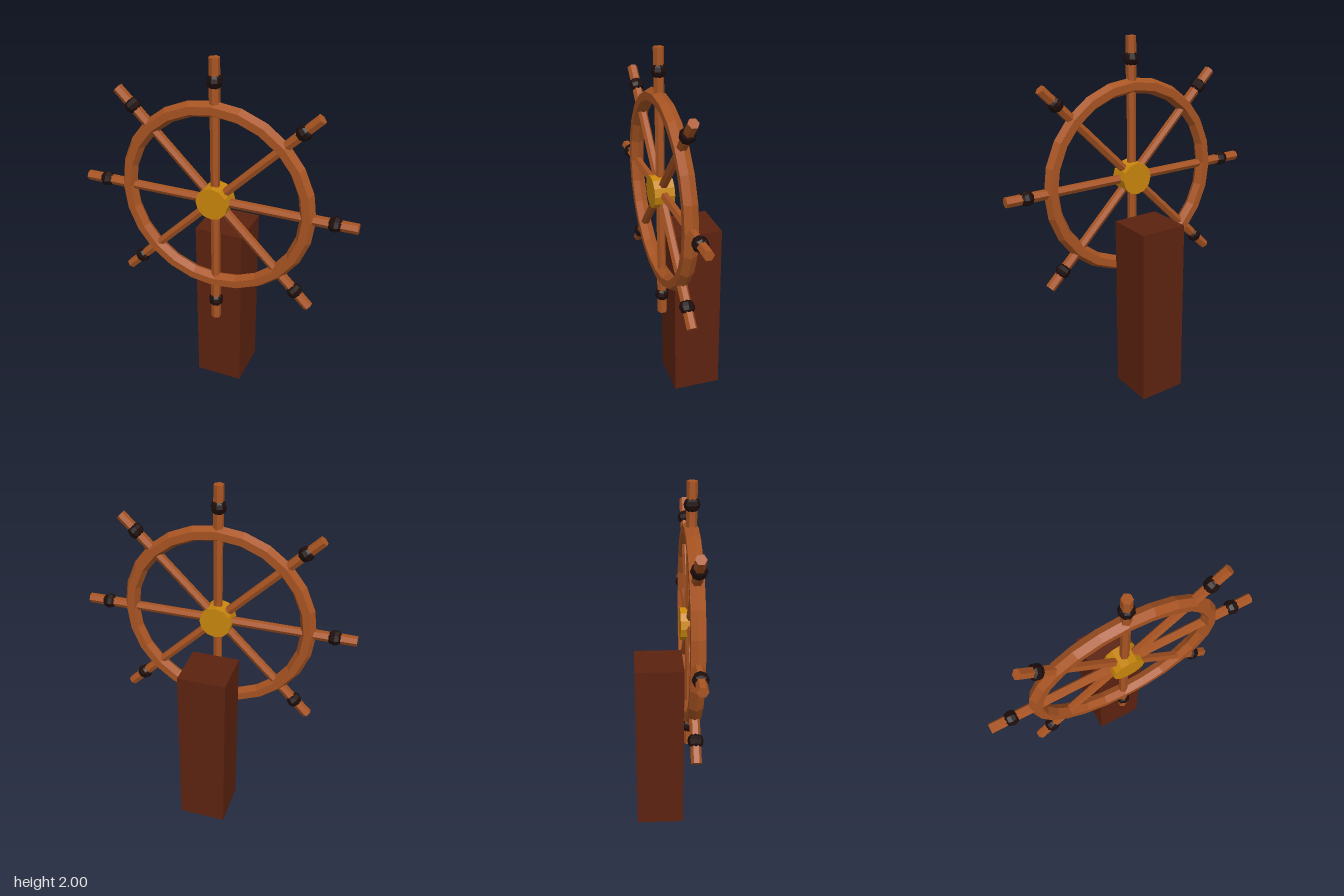
import * as THREE from 'three';

export function createModel() {
  const flat = (name, color) => {
    const m = new THREE.MeshStandardMaterial({ color, flatShading: true });
    m.name = name;
    return m;
  };
  const wood = flat('warm wood', 0xa85422);
  const darkWood = flat('dark wood', 0x5c220f);
  const grip = flat('black grip', 0x1c0d0b);
  const brass = flat('brass', 0xc8860d);

  const add = (parent, name, geometry, material, x = 0, y = 0, z = 0) => {
    const mesh = new THREE.Mesh(geometry, material);
    mesh.name = name;
    mesh.position.set(x, y, z);
    parent.add(mesh);
    return mesh;
  };

  const model = new THREE.Group();
  model.name = 'shipWheel';

  // Square post behind the wheel
  add(model, 'post', new THREE.BoxGeometry(0.27, 1.015, 0.27), darkWood, 0, 0.5075, -0.045);

  const wheel = new THREE.Group();
  wheel.name = 'wheel';
  wheel.position.set(0, 1.24, 0.125);
  model.add(wheel);

  // Six-sided rim and round hub
  add(wheel, 'rim', new THREE.TorusGeometry(0.503, 0.042, 6, 24), wood);
  add(wheel, 'hub', new THREE.CylinderGeometry(0.089, 0.089, 0.11, 12), brass).rotation.x = Math.PI / 2;

  // Eight spokes, each with a handle and a dark knob
  const spokeGeo = new THREE.CylinderGeometry(0.025, 0.025, 0.5, 6);
  const handleGeo = new THREE.CylinderGeometry(0.028, 0.028, 0.26, 6);
  const knobGeo = new THREE.SphereGeometry(0.042, 8, 6);
  for (let i = 0; i < 8; i++) {
    const arm = new THREE.Group();
    arm.name = 'arm' + (i + 1);
    arm.rotation.z = (i * Math.PI) / 4;
    add(arm, 'spoke', spokeGeo, wood, 0, 0.25, 0);
    add(arm, 'handle', handleGeo, wood, 0, 0.63, 0);
    add(arm, 'knob', knobGeo, grip, 0, 0.643, 0);
    wheel.add(arm);
  }
  return model;
}
